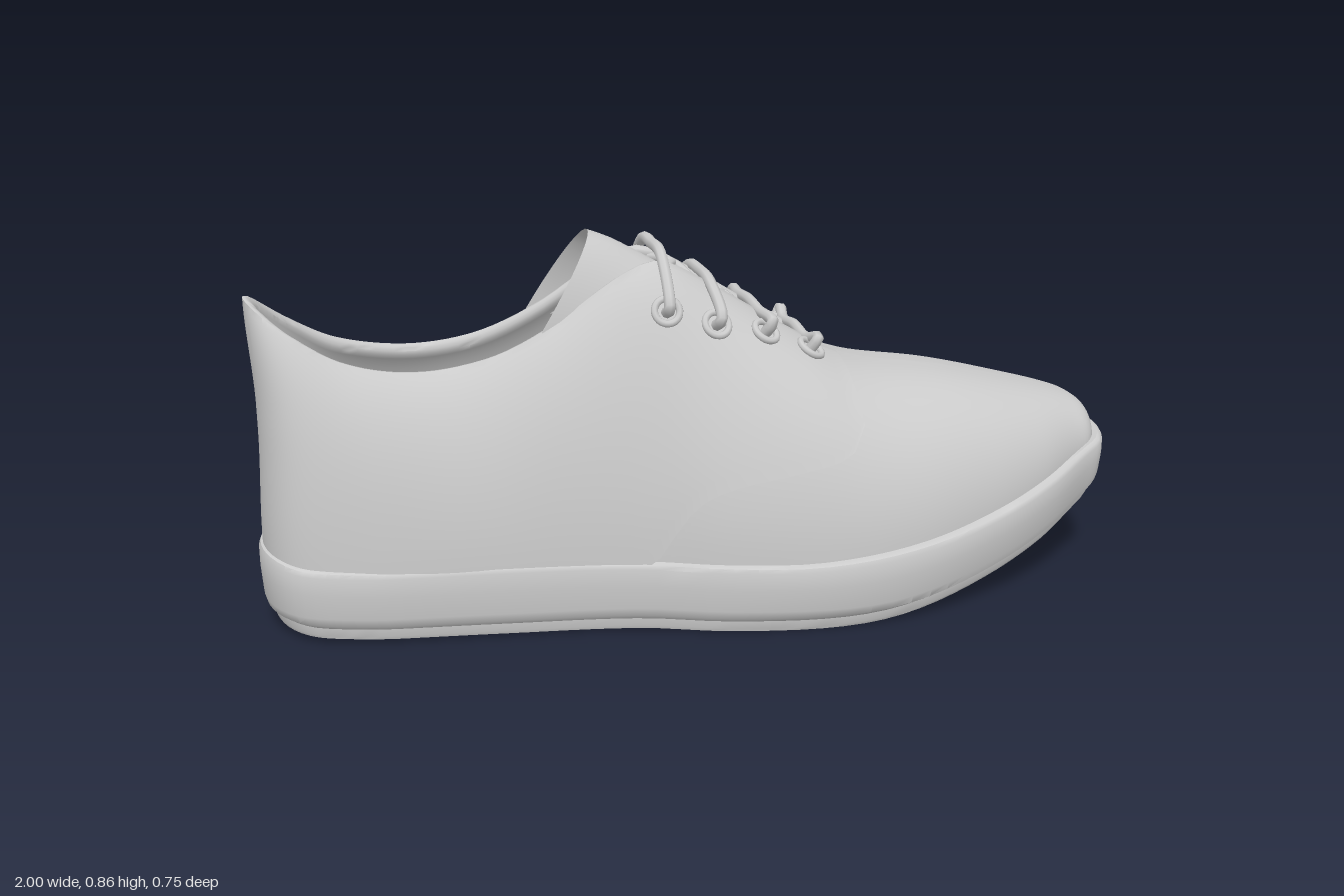
import * as THREE from 'three';
import { toCreasedNormals } from 'three/addons/utils/BufferGeometryUtils.js';

const V = (x, y, z) => new THREE.Vector3(x, y, z);
const { smoothstep, lerp, clamp } = THREE.MathUtils;
const range = (n, f) => Array.from({ length: n + 1 }, (_, i) => f(i / n));

// Smooth curve through [x, value] pairs
function curve(p) {
  const n = p.length;
  const slope = i => {
    const a = p[Math.max(i - 1, 0)], b = p[Math.min(i + 1, n - 1)];
    return (b[1] - a[1]) / (b[0] - a[0]);
  };
  return x => {
    if (x <= p[0][0]) return p[0][1];
    if (x >= p[n - 1][0]) return p[n - 1][1];
    let i = 0;
    while (x > p[i + 1][0]) i++;
    const h = p[i + 1][0] - p[i][0], t = (x - p[i][0]) / h, t2 = t * t, t3 = t2 * t;
    return (2 * t3 - 3 * t2 + 1) * p[i][1] + (t3 - 2 * t2 + t) * h * slope(i)
      + (3 * t2 - 2 * t3) * p[i + 1][1] + (t3 - t2) * h * slope(i + 1);
  };
}

// Plan of the sole: half width and centre line, heel at -x, toe at +x
const halfWidth = curve([[-1, 0.18], [-0.9, 0.2], [-0.74, 0.248], [-0.5, 0.238], [-0.2, 0.242], [0, 0.288],
  [0.25, 0.365], [0.45, 0.367], [0.65, 0.325], [0.8, 0.26], [0.93, 0.175], [1, 0.13]]);
const centreLow = curve([[-1, -0.02], [-0.74, -0.048], [-0.5, -0.015], [-0.2, 0.02], [0, 0.042], [0.25, 0.005],
  [0.45, -0.008], [0.65, -0.025], [0.8, -0.03], [0.93, -0.03], [1, -0.015]]);
const centreHigh = curve([[-1, -0.035], [-0.6, -0.03], [-0.35, 0], [0.3, 0], [0.6, -0.02], [1, -0.02]]);
const soleTop = curve([[-1, 0.195], [-0.9, 0.177], [-0.4, 0.17], [0, 0.162], [0.2, 0.16], [0.45, 0.185],
  [0.7, 0.235], [0.92, 0.3], [1, 0.33]]);
const soleLow = curve([[-1, 0.045], [-0.9, 0.037], [0, 0.027], [0.25, 0.025], [0.4, 0.036], [0.6, 0.075],
  [0.8, 0.13], [0.92, 0.175], [1, 0.22]]);

function soleWidth(x) {
  const u = Math.max((-0.82 - x) / 0.18, (x - 0.94) / 0.06, 0);
  return halfWidth(x) * Math.sqrt(Math.max(0, 1 - u ** 3));
}

// Upper: crown height, half width of the opening as a share, lower edge of the quarters
const crown = curve([[-0.98, 0.79], [-0.9, 0.715], [-0.8, 0.65], [-0.65, 0.62], [-0.5, 0.64], [-0.35, 0.705],
  [-0.2, 0.797], [-0.12, 0.815], [0, 0.745], [0.12, 0.667], [0.23, 0.6], [0.3, 0.56], [0.4, 0.527], [0.6, 0.49],
  [0.8, 0.44], [0.9, 0.412], [0.95, 0.39], [0.98, 0.355]]);
const opening = curve([[-0.98, 0.5], [-0.5, 0.5], [-0.3, 0.44], [-0.15, 0.38], [-0.08, 0.3], [0, 0.24],
  [0.15, 0.2], [0.31, 0.19]]);
const quarterEdge = curve([[-0.17, 0.15], [-0.08, 0.285], [0, 0.33], [0.15, 0.36], [0.27, 0.388], [0.31, 0.44]]);
const upperBase = x => soleTop(x) - 0.015;
const upperWidth = x => soleWidth(x / 0.98) * 0.945;

// Point on the upper at station x, angle a up the side, offset o from the surface
function upper(x, a, o, side) {
  const base = upperBase(x);
  const y = base + (crown(x) - base + o) * Math.sin(a);
  const w = upperWidth(x) * (1 + o / 0.25) * Math.max(0, Math.cos(a)) ** 0.8;
  const heel = 1 - smoothstep(x, -0.98, -0.8);
  const z = lerp(centreLow(x), centreHigh(x), smoothstep(y, 0.2, 0.7)) + side * w;
  return V(x - heel * (o + 0.012 * smoothstep(y, 0.5, 0.74) - 0.008 * smoothstep(y, 0.2, 0.45)), y, z);
}
const angleAtWidth = f => Math.acos(clamp(f, 0, 1) ** 1.25);

// Surface through a grid of points
function skin(rows, crease = 0.7) {
  const n = rows[0].length, index = [];
  for (let i = 0; i < rows.length - 1; i++) {
    for (let j = 0; j < n - 1; j++) {
      const a = i * n + j, b = a + n;
      index.push(a, b, b + 1, a, b + 1, a + 1);
    }
  }
  const g = new THREE.BufferGeometry().setFromPoints(rows.flat());
  g.setIndex(index);
  return toCreasedNormals(g, crease);
}

export function createModel() {
  const shoe = new THREE.Group();
  shoe.name = 'shoe';
  const solid = new THREE.MeshStandardMaterial({ color: 0xcccccc });
  const thin = new THREE.MeshStandardMaterial({ color: 0xcccccc, side: THREE.DoubleSide });
  const add = (name, geometry, material = solid, parent = shoe) => {
    const mesh = new THREE.Mesh(geometry, material);
    mesh.name = name;
    parent.add(mesh);
    return mesh;
  };

  // Sole layers: profile entries are [inset, height share, lift], null share of width closes the faces
  const layer = (low, high, profile) => skin(range(120, t => {
    const s = Math.abs(2 * t - 1), side = t < 0.5 ? -1 : 1, x = -Math.cos(Math.PI * s);
    return profile.map(([inset, share, lift, spread = 1]) => V(x * (1 - inset),
      lerp(low(x), high(x), share) + lift, centreLow(x) + side * spread * soleWidth(x) * (1 - inset * 3)));
  }));
  add('midsole', layer(soleLow, soleTop, [[0.025, 0, 0, 0], [0.025, 0, 0], [0.009, 0, 0.012], [0.004, 0, 0.03],
    [0, 0.6, 0], [0, 0.9, 0], [0.004, 1, -0.004], [0.012, 1, 0], [0.012, 1, 0, 0]]));
  add('outsole', layer(x => soleLow(x) - 0.025, soleLow, [[0.03, 0, 0, 0], [0.03, 0, 0], [0.026, 0, 0.008],
    [0.024, 1, 0.005], [0.024, 1, 0.005, 0]]));

  // Vamp and toe
  add('vamp', skin(range(56, t => {
    const x = -0.2 + 1.18 * Math.sin(t * Math.PI / 2);
    const top = Math.PI / 2 * (0.05 + 0.95 * smoothstep(x, -0.2, 0.27));
    return [...range(18, k => upper(x, top * k, -0.002, 1)), ...range(18, k => upper(x, top * (1 - k), -0.002, -1))];
  }).map(row => row.slice(0, 19)), 1.2), thin);
  add('vampFarSide', skin(range(56, t => {
    const x = -0.2 + 1.18 * Math.sin(t * Math.PI / 2);
    const top = Math.PI / 2 * (0.05 + 0.95 * smoothstep(x, -0.2, 0.27));
    return range(18, k => upper(x, top * (1 - k), -0.002, -1));
  }), 1.2), thin);

  // Quarters: one shell from flap to flap around the heel, with a rounded collar
  const quarterSection = (x, side, thick) => {
    const base = upperBase(x);
    const a0 = Math.asin(clamp((x < -0.17 ? 0 : quarterEdge(x) - base) / (crown(x) - base), 0, 1));
    const a1 = angleAtWidth(opening(x));
    const out = range(20, k => upper(x, lerp(a0, a1, k), 0.011 * thick, side));
    const rim = [0.02, 0.03, 0.02].map((d, i) => upper(x, a1 + d * thick, [0.006, -0.002, -0.01][i] * thick, side));
    const inner = range(20, k => upper(x, lerp(a1, a0, k), -0.016 * thick, side));
    return [...out, ...rim, ...inner, out[0].clone()];
  };
  const stations = range(120, t => {
    const s = Math.abs(2 * t - 1);
    return quarterSection(-0.98 + 1.29 * (1 - Math.cos(s * Math.PI / 2)), t < 0.5 ? -1 : 1, 1);
  });
  add('quarters', skin([quarterSection(0.31, -1, 0), ...stations, quarterSection(0.31, 1, 0)], 0.9), thin);

  // Tongue: arched strip with a rounded, raked top edge
  const ridge = curve([[-0.25, 0.86], [-0.2, 0.84], [-0.12, 0.795], [0, 0.722], [0.12, 0.645], [0.23, 0.583], [0.34, 0.53]]);
  add('tongue', skin(range(24, t => {
    const x = lerp(-0.25, 0.34, t), fall = lerp(1, 0.15, smoothstep(t, 0, 0.7));
    return range(20, k => {
      const a = (0.5 - k) * Math.PI, drop = 1 - Math.cos(a);
      return V(x - 0.125 * drop * fall, ridge(x) - 0.2 * drop * fall, 0.11 * Math.sin(a));
    });
  })), thin);

  // Eyelets and laces
  const lacing = new THREE.Group();
  lacing.name = 'lacing';
  shoe.add(lacing);
  const rows = [[-0.11, 0.155], [0, 0.16], [0.117, 0.142], [0.227, 0.13]];
  const cord = (name, points, r) =>
    add(name, new THREE.TubeGeometry(new THREE.CatmullRomCurve3(points), 40, r, 8), solid, lacing);
  const holes = rows.map(([x, z]) => [1, -1].map(side => {
    const a = angleAtWidth(z / upperWidth(x));
    const p = upper(x, a, 0.014, side);
    const along = upper(x + 0.01, a, 0.014, side).sub(p), up = upper(x, a + 0.02, 0.014, side).sub(p);
    const normal = along.cross(up).multiplyScalar(side).normalize();
    const ring = add('eyelet', new THREE.TorusGeometry(0.028, 0.008, 8, 24), solid, lacing);
    ring.position.copy(p);
    ring.quaternion.setFromUnitVectors(V(0, 0, 1), normal);
    return { p, normal };
  }));
  rows.forEach(([x], i) => {
    const [l, r] = holes[i], y = crown(x) + 0.008;
    const end = h => [h.p.clone().addScaledVector(h.normal, -0.02), h.p.clone().addScaledVector(h.normal, 0.03)];
    cord('laceBar', [...end(l), V(x + 0.005, y - 0.005, 0.09), V(x + 0.005, y + 0.002, 0), V(x + 0.005, y - 0.005, -0.09),
      ...end(r).reverse()], 0.013);
    if (i === 3) return;
    // Crossed laces between neighbouring rows
    const x2 = rows[i + 1][0];
    for (const side of [1, -1]) {
      cord('laceCross', [V(x, crown(x) - 0.04, 0.1 * side), V((x + x2) / 2, crown((x + x2) / 2) - 0.008, 0),
        V(x2, crown(x2) - 0.03, -0.1 * side)], 0.01);
    }
  });
  return shoe;
}
